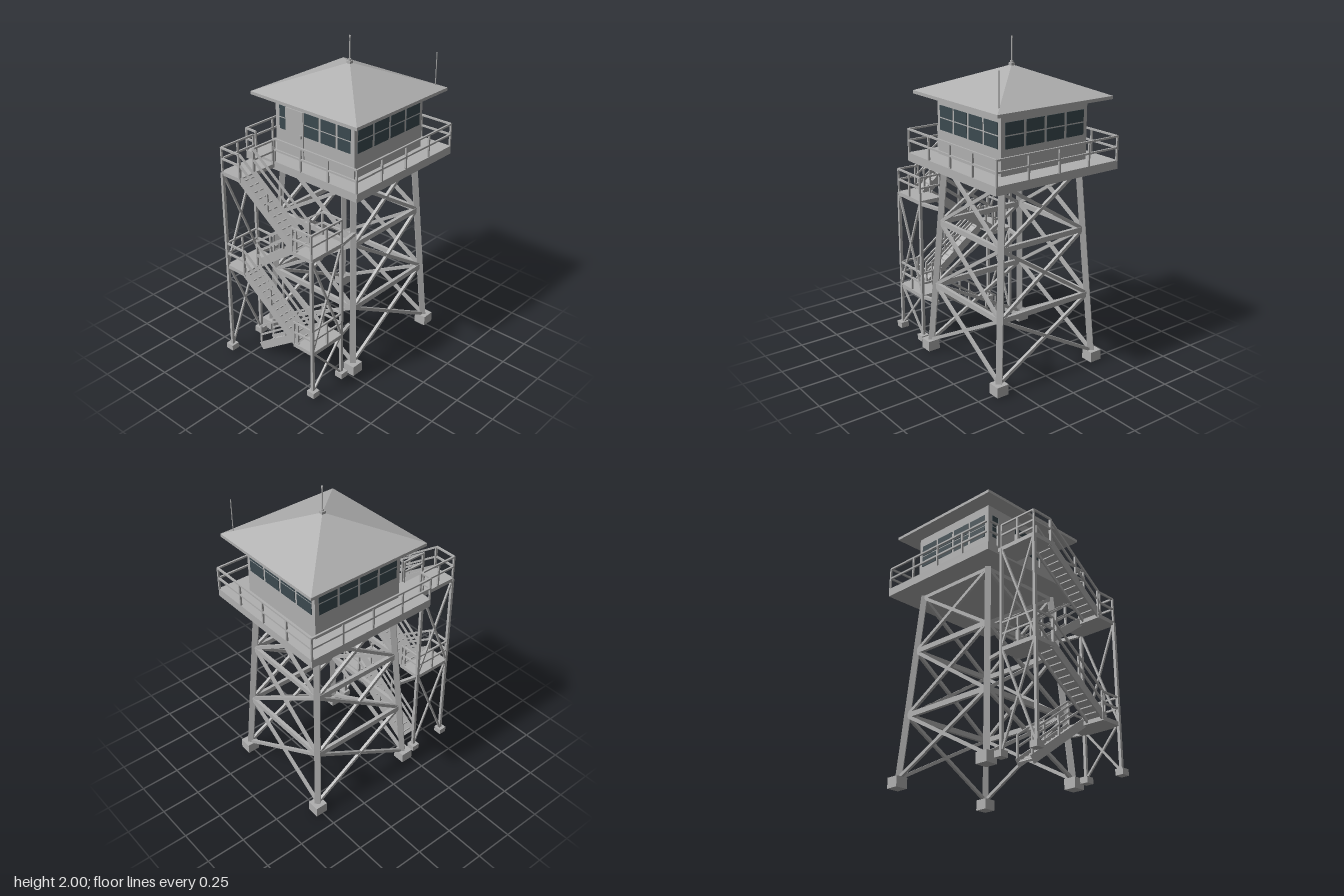
import * as THREE from 'three';

const grey = new THREE.MeshStandardMaterial({ color: 0xb0b0b0 });
grey.name = 'paintedGrey';
const glass = new THREE.MeshStandardMaterial({ color: 0x3b494f });
glass.name = 'darkGlass';

const TZ = -0.15; // centre of the main tower in z

function group(parent, name) {
  const g = new THREE.Group();
  g.name = name;
  parent.add(g);
  return g;
}

// Box given by its minimum and maximum corners
function block(parent, name, a, b, mat = grey) {
  const m = new THREE.Mesh(new THREE.BoxGeometry(b[0] - a[0], b[1] - a[1], b[2] - a[2]), mat);
  m.position.set((a[0] + b[0]) / 2, (a[1] + b[1]) / 2, (a[2] + b[2]) / 2);
  m.name = name;
  parent.add(m);
  return m;
}

// Rectangular bar between two points
function bar(parent, name, a, b, w, h = w) {
  const p = new THREE.Vector3(...a), q = new THREE.Vector3(...b);
  const m = new THREE.Mesh(new THREE.BoxGeometry(w, h, p.distanceTo(q)), grey);
  m.position.copy(p).lerp(q, 0.5);
  m.lookAt(q);
  m.name = name;
  parent.add(m);
  return m;
}

const lift = (p, dy) => [p[0], p[1] + dy, p[2]];
const mix = (a, b, t) => a.map((v, i) => v + (b[i] - v) * t);

// Posts with a top rail and a middle rail, following a to b
function railing(parent, a, b, segments) {
  const g = group(parent, 'railing');
  for (let i = 0; i <= segments; i++) {
    const p = mix(a, b, i / segments);
    bar(g, 'railPost', p, lift(p, 0.15), 0.011);
  }
  for (const dy of [0.148, 0.08]) bar(g, 'rail', lift(a, dy), lift(b, dy), 0.011);
}

function buildTower(root) {
  const g = group(root, 'mainTower');
  g.position.z = TZ;
  const half = y => 0.36 - 0.08 * y / 1.25;
  const corner = (sx, sz, y) => [sx * half(y), y, sz * half(y)];
  for (const sx of [-1, 1]) for (const sz of [-1, 1]) {
    bar(g, 'leg', corner(sx, sz, 0.05), corner(sx, sz, 1.26), 0.036);
    block(g, 'footing', [sx * 0.36 - 0.04, 0.01, sz * 0.36 - 0.04], [sx * 0.36 + 0.04, 0.075, sz * 0.36 + 0.04]);
  }
  // Girts and cross bracing, one face at a time
  const levels = [0.07, 0.45, 0.865, 1.235];
  for (let f = 0; f < 4; f++) {
    const face = group(g, 'bracedFace');
    face.rotation.y = f * Math.PI / 2;
    for (let i = 0; i < 3; i++) {
      const [lo, hi] = [levels[i], levels[i + 1]];
      for (const s of [-1, 1]) bar(face, 'crossBrace', corner(s, 1, lo), corner(-s, 1, hi), 0.018, 0.02);
      bar(face, 'girt', corner(-1, 1, hi), corner(1, 1, hi), 0.022, 0.032);
    }
  }
}

function buildDeck(root) {
  const g = group(root, 'deck');
  block(g, 'deckSlab', [-0.44, 1.243, TZ - 0.438], [0.44, 1.295, TZ + 0.438]);
  const y = 1.29, e = 0.434, zf = TZ + e, zb = TZ - e;
  railing(g, [-e, y, zb], [e, y, zb], 4);
  for (const s of [-1, 1]) railing(g, [s * e, y, zb], [s * e, y, zf], 4);
  railing(g, [-0.2, y, zf], [e, y, zf], 3);
  railing(g, [-e, y, zf], [-0.355, y, zf], 1);
}

function buildCabin(root) {
  const g = group(root, 'cabin');
  g.position.z = TZ;
  block(g, 'walls', [-0.308, 1.29, -0.308], [0.308, 1.655, 0.308]);
  // Windows in two rows on every side
  const plain = [0, 1, 2, 3].map(i => [-0.281 + i * 0.145, -0.154 + i * 0.145]);
  const front = [[-0.275, -0.225], [-0.075, 0.037], [0.055, 0.167], [0.185, 0.28]];
  for (let f = 0; f < 4; f++) {
    const side = group(g, 'windowBand');
    side.rotation.y = f * Math.PI / 2;
    for (const [x0, x1] of f ? plain : front) {
      for (const y of [1.446, 1.524]) block(side, 'pane', [x0, y, 0.304], [x1, y + 0.07, 0.311], glass);
    }
  }
  block(g, 'door', [-0.222, 1.295, 0.305], [-0.08, 1.595, 0.316]);
  block(g, 'doorHandle', [-0.1, 1.43, 0.315], [-0.09, 1.45, 0.325]);

  // Hipped roof with a thin eave
  block(g, 'eave', [-0.41, 1.653, -0.41], [0.41, 1.672, 0.41]);
  const cone = new THREE.ConeGeometry(0.41 * Math.SQRT2, 0.166, 4, 1, true).rotateY(Math.PI / 4).toNonIndexed();
  cone.computeVertexNormals();
  const roof = new THREE.Mesh(cone, grey);
  roof.position.y = 1.672 + 0.083;
  roof.name = 'roof';
  g.add(roof);
  block(g, 'roofCap', [-0.013, 1.825, -0.013], [0.013, 1.848, 0.013]);
  const rod = (name, x, z, y0, y1, r) => {
    const m = new THREE.Mesh(new THREE.CylinderGeometry(r, r, y1 - y0, 8), grey);
    m.position.set(x, (y0 + y1) / 2, z);
    m.name = name;
    g.add(m);
  };
  rod('mastCollar', 0, 0, 1.845, 1.86, 0.009);
  rod('mast', 0, 0, 1.84, 1.99, 0.004);
  rod('mastTip', 0, 0, 1.988, 2, 0.006);
  rod('whipAntenna', 0.36, -0.355, 1.67, 1.89, 0.003);
}

function buildStairs(root) {
  const g = group(root, 'stairTower');
  const levels = [0.03, 0.335, 0.65, 0.965, 1.28];
  const Z0 = 0.31, Z1 = 0.56, X = 0.35;

  // Posts, footings, cross bracing and ties to the main tower
  for (const s of [-1, 1]) {
    const stops = s < 0 ? [0.05, 0.65, 1.27] : [0.05, 0.335, 0.955];
    for (const z of [Z0, Z1]) {
      bar(g, 'stairPost', [s * X, 0.04, z], [s * X, stops[2], z], 0.018);
      block(g, 'stairFooting', [s * 0.353 - 0.027, 0.025, z - 0.026], [s * 0.353 + 0.027, 0.062, z + 0.026]);
    }
    for (let i = 0; i < 2; i++) {
      bar(g, 'stairBrace', [s * X, stops[i], Z0], [s * X, stops[i + 1], Z1], 0.012);
      bar(g, 'stairBrace', [s * X, stops[i], Z1], [s * X, stops[i + 1], Z0], 0.012);
    }
    for (const y of s < 0 ? [0.63] : [0.32, 0.945]) {
      bar(g, 'tie', [s * 0.34, y, Z0], [s * 0.31, y, 0.21 - 0.064 * y], 0.02);
    }
  }

  // Flights: inner ones rise to +x, outer ones to -x, each ending on a landing
  for (let i = 0; i < 4; i++) {
    const s = i % 2 ? -1 : 1;
    const [za, zb] = i % 2 ? [0.445, 0.56] : [0.308, 0.425];
    const zm = (za + zb) / 2;
    const flight = group(g, 'flight');
    const at = z => [[-s * 0.23, levels[i], z], [s * 0.205, levels[i + 1], z]];
    const [a, b] = at(zm);
    bar(flight, 'treadPlate', lift(a, -0.01), lift(b, -0.01), zb - za, 0.01);
    for (let k = 0; k < 12; k++) {
      const p = lift(mix(a, b, (k + 0.5) / 12), -0.01);
      block(flight, 'nosing', [p[0] - 0.004, p[1] - 0.01, za], [p[0] + 0.004, p[1] + 0.01, zb]);
    }
    for (const z of [za + 0.005, zb - 0.005]) {
      const [p, q] = at(z);
      bar(flight, 'stringer', lift(p, -0.008), lift(q, -0.008), 0.01, 0.05);
      railing(flight, p, q, 2);
    }

    // Landing at the head of the flight
    const y = levels[i + 1], top = i === 3;
    const landing = group(g, 'landing');
    const zBack = top ? 0.285 : Z0 - 0.005;
    const x0 = Math.min(s * 0.2, s * 0.356), x1 = Math.max(s * 0.2, s * 0.356);
    block(landing, 'landingSlab', [x0, y - 0.025, zBack], [x1, y, Z1 + 0.004]);
    railing(landing, [s * X, y, Z0], [s * X, y, Z1], 2);
    railing(landing, [s * 0.205, y, Z1], [s * X, y, Z1], 1);
    if (top) railing(landing, [-0.205, y, 0.295], [-0.205, y, 0.445], 1);
    else railing(landing, [s * 0.205, y, Z0], [s * X, y, Z0], 1);
  }
}

export function createModel() {
  const root = new THREE.Group();
  root.name = 'lookoutTower';
  buildTower(root);
  buildDeck(root);
  buildCabin(root);
  buildStairs(root);
  return root;
}
